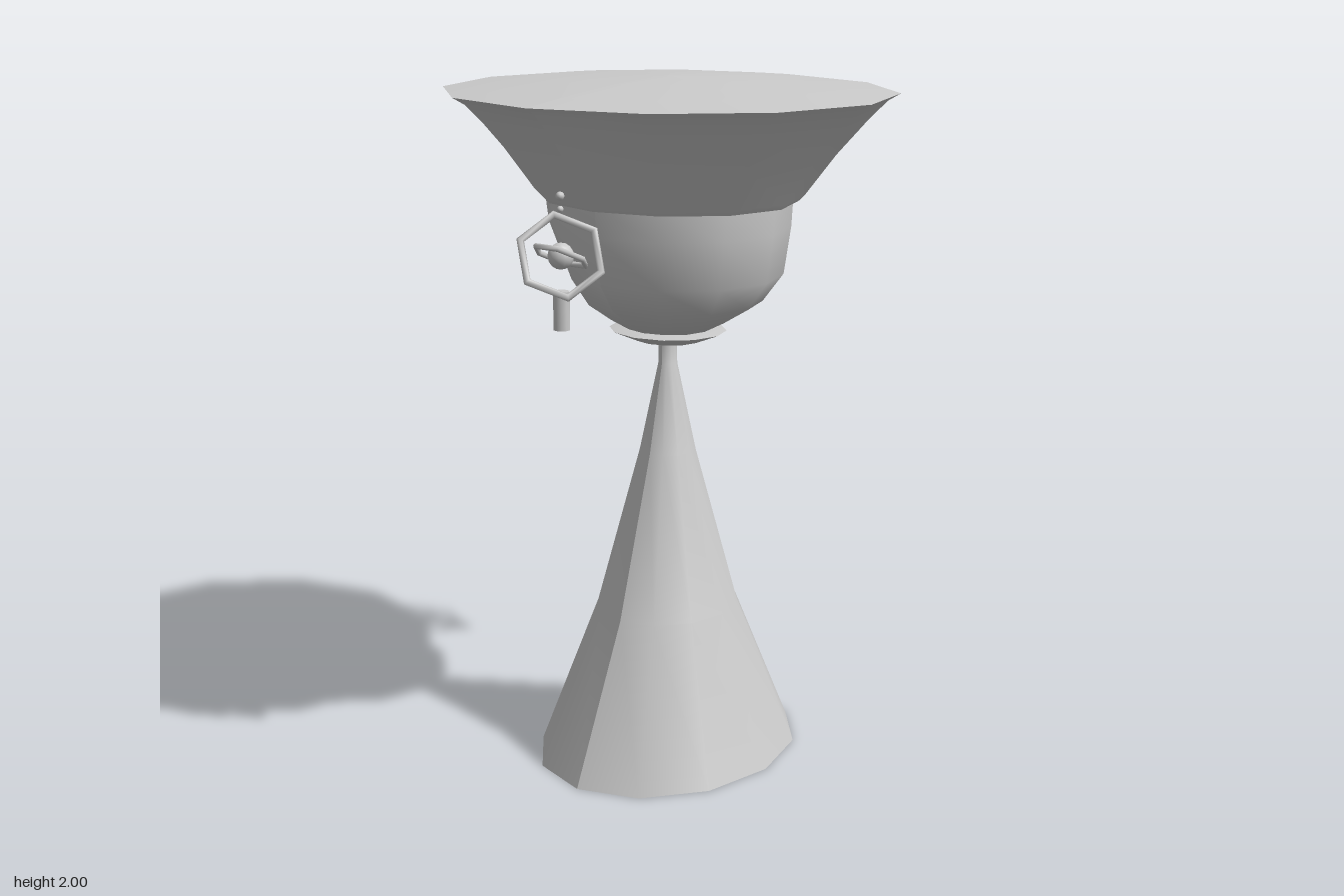
import * as THREE from 'three';

const material = new THREE.MeshStandardMaterial({ color: 0xcccccc, side: THREE.DoubleSide });
const SIDES = 12;

function part(name, geometry, parent) {
  const mesh = new THREE.Mesh(geometry, material);
  mesh.name = name;
  parent.add(mesh);
  return mesh;
}

// Twelve-sided turned form with an elliptical plan; zScale may vary with height
function turned(name, profile, zScale, parent) {
  const points = profile.map(([r, y]) => new THREE.Vector2(r, y));
  const geometry = new THREE.LatheGeometry(points, SIDES);
  const pos = geometry.attributes.position;
  for (let i = 0; i < pos.count; i++) pos.setZ(i, pos.getZ(i) * zScale(pos.getY(i)));
  geometry.computeVertexNormals();
  return part(name, geometry, parent);
}

// Rotate a mesh so its local x and z axes follow the given directions
function orient(mesh, xDir, zDir) {
  const z = new THREE.Vector3(...zDir).normalize();
  const y = z.clone().cross(new THREE.Vector3(...xDir)).normalize();
  const x = y.clone().cross(z);
  mesh.quaternion.setFromRotationMatrix(new THREE.Matrix4().makeBasis(x, y, z));
}

// Floating lantern: tilted hexagonal ring, crossing inner ring, core, handle and beads
function createLantern(name) {
  const lantern = new THREE.Group();
  lantern.name = name;

  const outer = part('hexagonRing', new THREE.TorusGeometry(0.115, 0.011, 6, 6), lantern);
  orient(outer, [-0.045, 0.106, -0.026], [0.65, 0.43, 0.63]);

  const inner = part('innerRing', new THREE.TorusGeometry(0.075, 0.008, 6, 6), lantern);
  orient(inner, [1, 0, 0], [0, 0.88, -0.48]);

  part('core', new THREE.SphereGeometry(0.036, 12, 8), lantern);
  part('handle', new THREE.CylinderGeometry(0.023, 0.023, 0.105, 10), lantern).position.y = -0.1475;
  part('lowerBead', new THREE.SphereGeometry(0.009, 8, 6), lantern).position.y = 0.125;
  part('upperBead', new THREE.SphereGeometry(0.012, 8, 6), lantern).position.y = 0.16;
  return lantern;
}

export function createModel() {
  const model = new THREE.Group();
  model.name = 'tower';

  // Flared hollow stem, open at the foot
  turned('stem', [[0.36, 0], [0.2, 0.45], [0.08, 0.92], [0.027, 1.18], [0.026, 1.25]],
    (y) => 1.21 - 0.13 * y, model);

  // Thin collar between stem and bowl
  turned('collarUnderside', [[0.026, 1.235], [0.1, 1.25], [0.175, 1.28]], () => 0.9, model);
  turned('collarTop', [[0.175, 1.28], [0.12, 1.288], [0, 1.29]], () => 0.9, model);

  // Bowl, drawn in slightly on the -x side
  const bowl = turned('bowl', [[0, 1.275], [0.127, 1.285], [0.196, 1.32], [0.28, 1.37],
    [0.34, 1.45], [0.36, 1.585], [0.365, 1.67]], () => 0.9, model);
  const pos = bowl.geometry.attributes.position;
  for (let i = 0; i < pos.count; i++) {
    if (pos.getX(i) >= 0) continue;
    const t = THREE.MathUtils.clamp((pos.getY(i) - 1.28) / 0.32, 0, 1);
    pos.setX(i, pos.getX(i) * (1 - 0.2 * Math.sin(Math.PI * t ** 0.8)));
  }
  bowl.geometry.computeVertexNormals();

  // Flared brim with underside ledge and shallow domed lid
  turned('brimLedge', [[0.33, 1.662], [0.385, 1.66]], () => 0.87, model);
  turned('brim', [[0.385, 1.66], [0.4, 1.675], [0.487, 1.79], [0.575, 1.89], [0.625, 1.94], [0.66, 1.96]],
    (y) => 0.87 + 0.15 * (y - 1.66), model);
  turned('lid', [[0.66, 1.96], [0.5, 1.975], [0.25, 1.993], [0, 2]], () => 0.915, model);

  // Mirrored lanterns in front and behind
  for (const side of [1, -1]) {
    const lantern = createLantern(side > 0 ? 'frontLantern' : 'backLantern');
    lantern.position.set(0, 1.56, 0.473 * side);
    lantern.scale.z = side;
    model.add(lantern);
  }
  return model;
}
